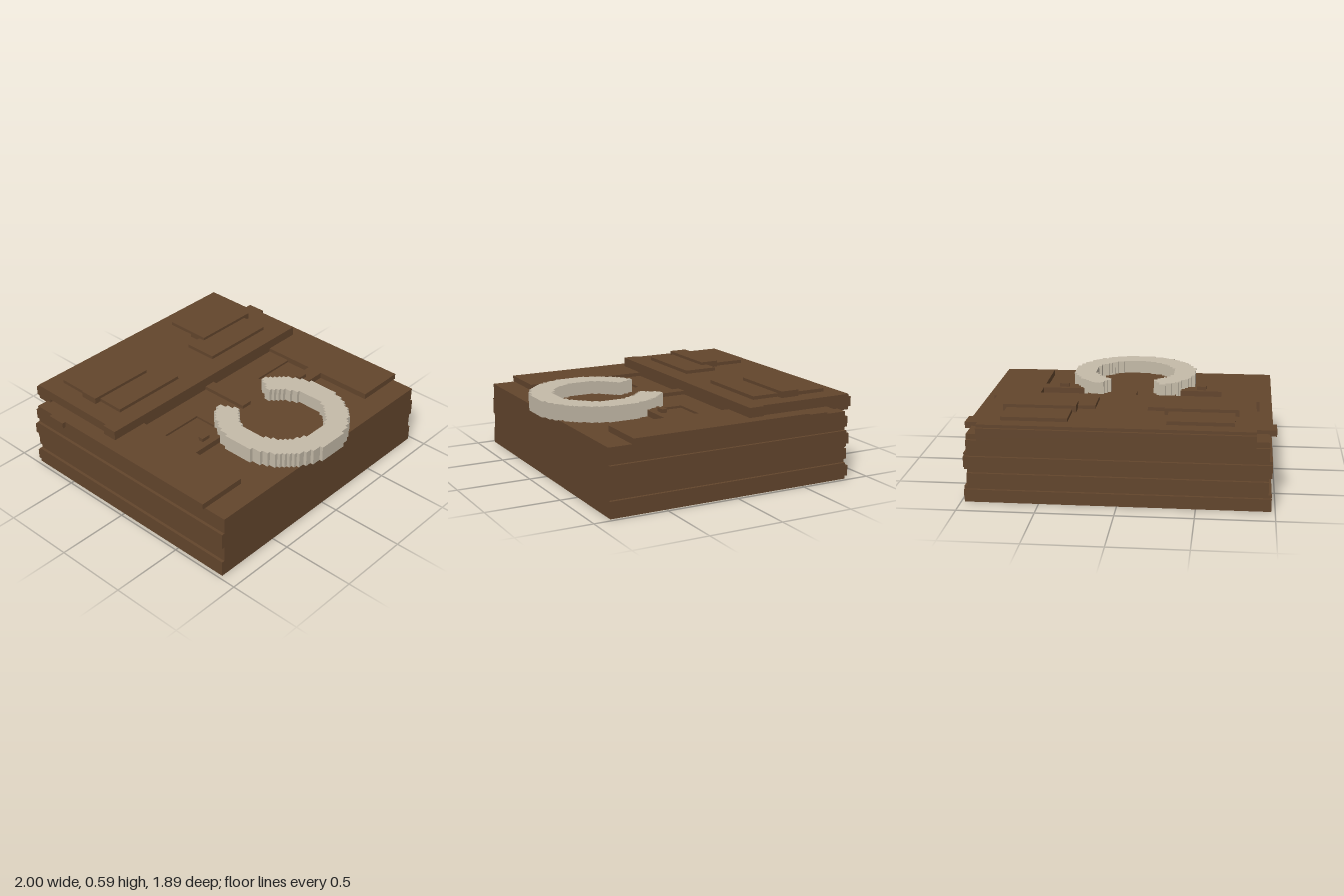
import * as THREE from 'three';

const brown = new THREE.MeshStandardMaterial({ color: 0x62452c });
brown.name = 'brown';
const bone = new THREE.MeshStandardMaterial({ color: 0xc4baa8 });
bone.name = 'bone';

export function createModel() {
  const model = new THREE.Group();

  // Box given by its limits on each axis
  const box = (name, x0, x1, y0, y1, z0, z1) => {
    const mesh = new THREE.Mesh(new THREE.BoxGeometry(x1 - x0, y1 - y0, z1 - z0), brown);
    mesh.name = name;
    mesh.position.set((x0 + x1) / 2, (y0 + y1) / 2, (z0 + z1) / 2);
    model.add(mesh);
    return mesh;
  };
  // Box and its mirror image across x = 0
  const pair = (name, x0, x1, ...rest) => {
    box(name + 'Left', x0, x1, ...rest);
    box(name + 'Right', -x1, -x0, ...rest);
  };

  // Stacked base layers, alternately wide and narrow, each with a rib at the back
  for (let i = 0; i < 4; i++) {
    const w = i % 2 ? 0.955 : 0.975;
    const y = i * 0.11;
    box('baseLayer', -w, w, y, y + 0.11, -0.84, 0.88);
    box('backRib', -w, w, y + 0.02, y + 0.09, -0.86, -0.84);
  }

  // Thin plates lying on the base
  box('rearPlate', -0.955, 0.955, 0.44, 0.455, -0.84, -0.66);
  box('middlePlate', -0.63, 0.63, 0.44, 0.455, -0.145, 0.03);
  box('centrePlate', -0.31, 0.31, 0.44, 0.455, 0.03, 0.52);
  const disc = new THREE.Mesh(new THREE.CylinderGeometry(0.36, 0.36, 0.015, 32), brown);
  disc.name = 'ringSeat';
  disc.position.set(0, 0.4475, 0.52);
  model.add(disc);

  // Raised side rails with end tabs, inner arms and pegs
  pair('sideRail', 0.63, 0.975, 0.44, 0.48, -0.535, 0.72);
  pair('railTab', 0.63, 1.0, 0.44, 0.48, -0.665, -0.535);
  pair('railArm', 0.34, 0.63, 0.44, 0.48, 0.22, 0.33);
  pair('armPeg', 0.455, 0.52, 0.48, 0.505, 0.25, 0.285);
  box('centreBar', -0.04, 0.04, 0.44, 0.48, -0.145, 0.2);

  // Upper slab, its support and the rear lip
  box('slabSupport', -0.63, 0.63, 0.44, 0.48, -0.665, -0.145);
  box('slabFront', -0.89, 0.89, 0.48, 0.545, -0.25, -0.145);
  box('slab', -0.87, 0.87, 0.48, 0.545, -0.81, -0.25);
  box('slabRear', -0.87, 0.87, 0.44, 0.545, -0.925, -0.81);
  box('slabLip', -0.87, 0.87, 0.46, 0.525, -0.945, -0.925);

  // Overlapping panels on the slab
  pair('rearPanel', 0.31, 0.735, 0.545, 0.568, -0.82, -0.58);
  pair('topPanel', 0.285, 0.76, 0.545, 0.588, -0.6, -0.47);
  pair('frontPanel', 0.17, 0.715, 0.545, 0.568, -0.515, -0.28);

  // Open ring with a stair-stepped outline, snapped to a small grid
  const cell = 0.0217;
  const centreZ = 0.51;
  const outline = [];
  const addPoint = (x, z) => {
    const p = [Math.round(x / cell), Math.round(z / cell)];
    const last = outline[outline.length - 1];
    if (last) {
      if (last[0] === p[0] && last[1] === p[1]) return;
      if (last[0] !== p[0] && last[1] !== p[1]) outline.push([p[0], last[1]]);
    }
    outline.push(p);
  };
  const gap = Math.PI / 6;
  const steps = 300;
  const arc = (radius, from, to) => {
    for (let i = 0; i <= steps; i++) {
      const a = from + ((to - from) * i) / steps;
      addPoint(radius * Math.sin(a), -radius * Math.cos(a));
    }
  };
  const cut = (a, r0, r1) => {
    for (let i = 1; i < 20; i++) {
      const r = r0 + ((r1 - r0) * i) / 20;
      addPoint(r * Math.sin(a), -r * Math.cos(a));
    }
  };
  const outer = 0.437, inner = 0.287, end = 2 * Math.PI - gap;
  arc(outer, gap, end);
  cut(end, outer, inner);
  arc(inner, end, gap);
  cut(gap, inner, outer);
  const shape = new THREE.Shape(outline.map(([x, z]) => new THREE.Vector2(x * cell, z * cell + centreZ)));
  const ringGeometry = new THREE.ExtrudeGeometry(shape, { depth: 0.108, bevelEnabled: false });
  ringGeometry.rotateX(Math.PI / 2);
  const ring = new THREE.Mesh(ringGeometry, bone);
  ring.name = 'openRing';
  ring.position.y = 0.545;
  model.add(ring);

  return model;
}
